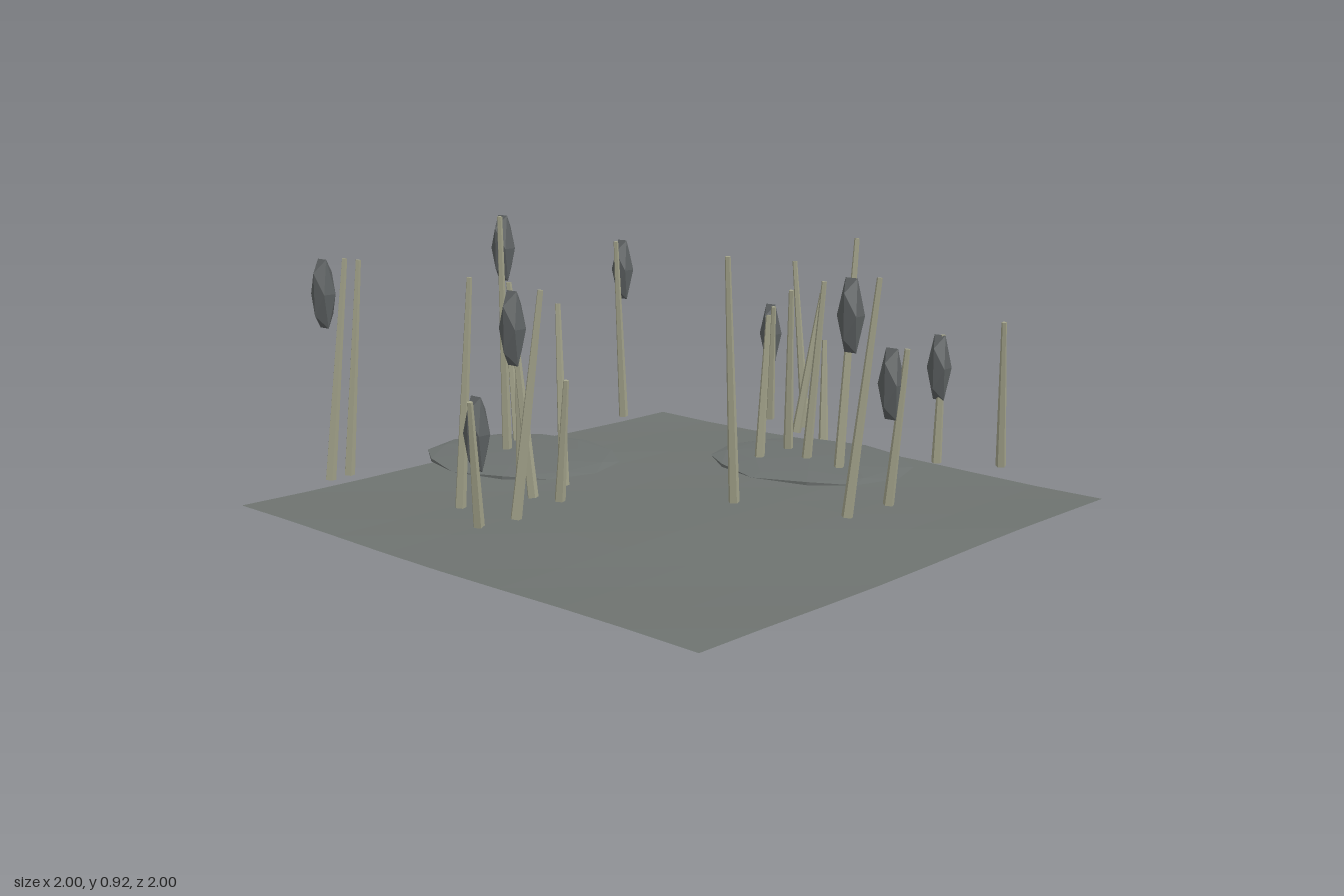
import * as THREE from 'three';

const material = (name, color, extra = {}) => {
  const m = new THREE.MeshStandardMaterial({ color, flatShading: true, ...extra });
  m.name = name;
  return m;
};

const BASE_Y = 0.105;

// Stems: base x, base z, tip x, tip z, tip height
const REEDS = [
  [-0.125, -0.835, -0.18, -0.83, 0.715],
  [-0.095, -0.745, -0.045, -0.82, 0.61],
  [0.06, -0.705, 0.035, -0.735, 0.46],
  [0.725, -0.81, 0.755, -0.75, 0.60],
  [0.085, -0.475, 0.135, -0.42, 0.68],
  [0.22, -0.405, 0.265, -0.43, 0.72],
  [0.375, -0.38, 0.38, -0.45, 0.87],
  [0.09, -0.315, 0.095, -0.35, 0.60],
  [0.37, 0.14, 0.40, 0.21, 0.87],
  [-0.695, 0.07, -0.745, 0.06, 0.49],
  [-0.16, 0.355, -0.215, 0.32, 0.68],
  [-0.325, 0.39, -0.295, 0.42, 0.48],
  [-0.125, 0.52, -0.18, 0.555, 0.775],
  [-0.035, 0.49, 0.015, 0.505, 0.49],
  [-0.20, 0.748, -0.15, 0.735, 0.81],
  [-0.775, 0.735, -0.735, 0.70, 0.81],
];
const CATTAILS = [
  [-0.315, -0.86, -0.265, -0.815, 0.54],
  [0.54, -0.705, 0.55, -0.71, 0.54],
  [-0.75, -0.515, -0.73, -0.46, 0.775],
  [0.737, -0.155, 0.782, -0.17, 0.59],
  [0.727, 0.04, 0.787, -0.015, 0.82],
  [-0.617, 0.19, -0.587, 0.23, 0.925],
  [0.02, 0.72, 0.07, 0.655, 0.785],
  [-0.002, 0.845, 0.048, 0.91, 0.49],
  [-0.767, 0.815, -0.732, 0.755, 0.82],
];

export function createModel() {
  const group = new THREE.Group();
  const mud = material('mud', 0x6e7370, { side: THREE.DoubleSide });
  const water = material('water', 0x6d7270);
  const stalk = material('stalk', 0xa3a38b);
  const seed = material('seed', 0x5d6162);

  const add = (name, geometry, mat, x = 0, y = 0, z = 0) => {
    const mesh = new THREE.Mesh(geometry, mat);
    mesh.name = name;
    mesh.position.set(x, y, z);
    group.add(mesh);
    return mesh;
  };

  // Gently uneven square of ground
  const ground = new THREE.PlaneGeometry(2, 2, 8, 8).rotateX(-Math.PI / 2);
  const p = ground.attributes.position;
  for (let i = 0; i < p.count; i++) {
    const x = p.getX(i), z = p.getZ(i);
    p.setY(i, 0.009 + 0.006 * Math.sin(4.1 * x + 1.9 * z) * Math.cos(2.7 * z - 0.5));
  }
  ground.computeVertexNormals();
  add('ground', ground, mud);

  // Two flattened pools
  const pool = new THREE.IcosahedronGeometry(1, 1).scale(0.36, 0.017, 0.31);
  add('backPool', pool, water, 0.22, 0.107, -0.43);
  add('frontPool', pool, water, -0.55, 0.107, 0.18);

  // Tapered stem leaning from its base to its tip
  const up = new THREE.Vector3(0, 1, 0);
  const addStem = (name, [bx, bz, tx, tz, top]) => {
    const base = new THREE.Vector3(bx, BASE_Y, bz);
    const lean = new THREE.Vector3(tx, top, tz).sub(base);
    const length = lean.length();
    const geometry = new THREE.CylinderGeometry(0.009, 0.018, length, 5).translate(0, length / 2, 0);
    const stem = add(name, geometry, stalk, bx, BASE_Y, bz);
    stem.quaternion.setFromUnitVectors(up, lean.normalize());
  };
  for (const reed of REEDS) addStem('reed', reed);

  // Cattails: a stem with an upright faceted seed head above its base
  const head = new THREE.IcosahedronGeometry(0.041, 0).scale(1, 3.15, 1);
  for (const cattail of CATTAILS) {
    addStem('cattailStem', cattail);
    add('cattailHead', head, seed, cattail[0], cattail[4] - 0.11, cattail[1]);
  }
  return group;
}
